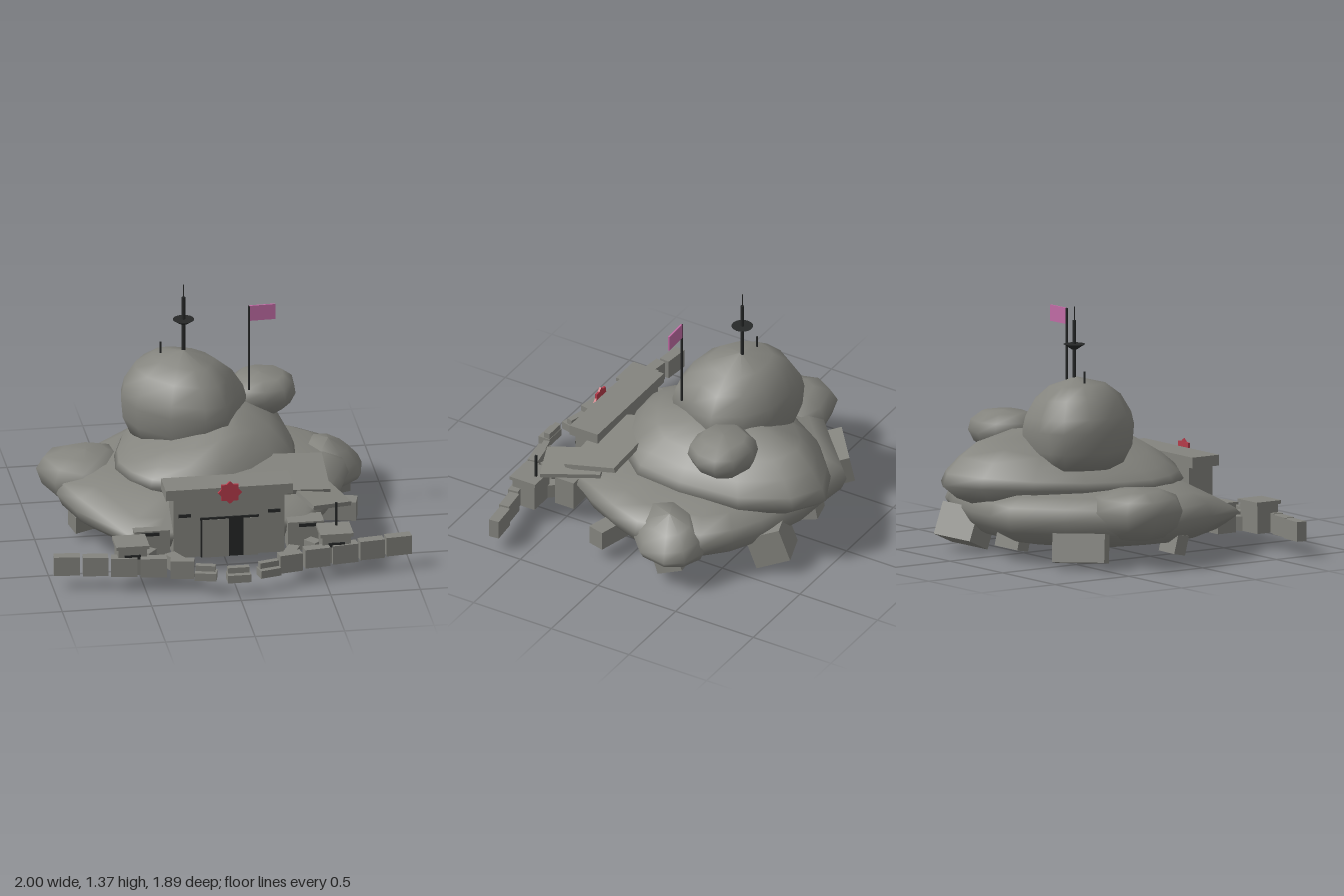
import * as THREE from 'three';

const mat = (name, color) => {
  const m = new THREE.MeshStandardMaterial({ color });
  m.name = name;
  return m;
};

export function createModel() {
  const rock = mat('rock grey', 0x84847e);
  const dark = mat('dark metal', 0x262828);
  const red = mat('emblem red', 0xb53b4a);
  const pink = mat('flag pink', 0xc26ca6);
  const model = new THREE.Group();

  const add = (name, geometry, material, x = 0, y = 0, z = 0, rx = 0, ry = 0, rz = 0) => {
    const mesh = new THREE.Mesh(geometry, material);
    mesh.name = name;
    mesh.position.set(x, y, z);
    mesh.rotation.set(rx, ry, rz, 'YXZ');
    model.add(mesh);
  };
  // Box given by its centre, size and rotation
  const box = (name, [x, y, z], [w, h, d], [rx, ry, rz] = [0, 0, 0], material = rock) =>
    add(name, new THREE.BoxGeometry(w, h, d), material, x, y, z, rx, ry, rz);

  // Boulder: a plan outline (x, z) repeated at profile steps (scale, y)
  const boulder = (name, outline, [cx, cz], profile, tweak = (x, y, z) => y) => {
    const n = outline.length;
    const pos = [], index = [];
    profile.forEach(([s, y], i) => {
      outline.forEach(([px, pz], j) => {
        const x = cx + (px - cx) * s, z = cz + (pz - cz) * s;
        pos.push(x, tweak(x, y, z), z);
        if (i === profile.length - 1) return;
        const a = i * n + j, b = i * n + (j + 1) % n;
        index.push(a, a + n, b, b, a + n, b + n);
      });
    });
    const g = new THREE.BufferGeometry();
    g.setAttribute('position', new THREE.Float32BufferAttribute(pos, 3));
    g.setIndex(index);
    g.computeVertexNormals();
    add(name, g, rock);
  };

  // Main rock masses
  boulder('baseRock',
    [[-.4, .56], [-.58, .55], [-.8, .2], [-.87, -.05], [-.8, -.35], [-.53, -.6], [-.3, -.82], [-.1, -.8], [.1, -.79],
      [.4, -.7], [.57, -.61], [.71, -.48], [.77, -.1], [.7, .1], [.6, .3], [.45, .5], [.2, .53]],
    [-.05, -.1],
    [[0, .07], [.6, .08], [.86, .12], [.96, .18], [1, .25], [.97, .32], [.84, .37], [.55, .41], [0, .43]],
    (x, y, z) => y - Math.max(0, y - .2) * Math.max(0, z - .3) * 3);
  boulder('middleRock',
    [[.14, -.95], [.31, -.84], [.45, -.57], [.48, -.2], [.45, .08], [.33, .22], [.18, .31], [0, .38], [-.22, .4],
      [-.4, .3], [-.5, .16], [-.55, 0], [-.53, -.18], [-.46, -.4], [-.3, -.65], [-.08, -.85]],
    [0, -.25],
    [[0, .2], [.6, .25], [.88, .33], [1, .4], [.96, .47], [.85, .56], [.7, .64], [.4, .69], [0, .71]],
    (x, y) => y - Math.max(0, y - .42) * Math.abs(x - .1) * 1.05);
  boulder('domeRock',
    [[-.38, -.5], [-.28, -.53], [-.2, -.54], [0, -.51], [.13, -.41], [.22, -.25], [.15, -.08], [.07, .08], [-.06, .11],
      [-.25, .07], [-.42, -.08], [-.48, -.25], [-.46, -.37]],
    [-.13, -.24],
    [[0, .48], [.85, .5], [.97, .59], [1, .7], [.95, .77], [.77, .87], [.5, .94], [0, .985]],
    (x, y) => y - (y - .48) * (x + .13) * .22);
  boulder('shoulderRock',
    [[.2, -.55], [.31, -.59], [.46, -.55], [.52, -.46], [.51, -.34], [.44, -.24], [.32, -.22], [.2, -.25], [.12, -.4]],
    [.32, -.4],
    [[0, .51], [.5, .53], [.85, .58], [1, .64], [.93, .7], [.65, .745], [0, .755]]);
  boulder('rightSideRock',
    [[-.95, -.28], [-.87, -.42], [-.65, -.47], [-.5, -.42], [-.44, -.25], [-.55, -.03], [-.74, .05], [-.88, -.05]],
    [-.68, -.22],
    [[0, .14], [.6, .16], [.88, .22], [1, .31], [.85, .38], [.5, .42], [0, .43]]);
  boulder('leftSideRock',
    [[.56, -.4], [.7, -.5], [.82, -.45], [.88, -.35], [.85, -.18], [.75, -.08], [.58, -.03], [.5, -.2]],
    [.68, -.27],
    [[0, .11], [.6, .13], [.9, .17], [1, .22], [.88, .29], [.58, .36], [0, .39]],
    (x, y) => y - Math.max(0, y - .15) * (x - .68) * 1.6);

  // Loose angular blocks under the rock
  [
    [[.29, .14, -.69], [.24, .19, .2], [.36, .4, .1]],
    [[-.64, .12, -.57], [.3, .16, .1], [.2, .68, -.03]],
    [[-.15, .115, -.68], [.16, .1, .1], [.2, .3, .08]],
    [[.7, .135, -.3], [.18, .12, .15], [.35, .2, .1]],
    [[.66, .14, .12], [.24, .11, .1], [0, -.25, 0]],
    [[-.74, .11, -.01], [.11, .11, .1], [.2, .3, .1]],
  ].forEach(([p, s, r]) => box('looseBlock', p, s, r));

  // Entrance hall with roof slab and double door
  box('entranceHall', [0, .265, .48], [.62, .35, .16]);
  box('entranceRoof', [0, .47, .48], [.71, .06, .18]);
  box('doorLintel', [0, .322, .574], [.33, .012, .008], undefined, dark);
  box('doorOpening', [0, .203, .572], [.32, .226, .006], undefined, dark);
  box('doorPanel', [-.077, .203, .575], [.146, .226, .009]);
  box('doorPanel', [.118, .203, .575], [.08, .226, .009]);

  // Eight-pointed emblem
  const star = new THREE.Shape(Array.from({ length: 16 }, (_, i) => {
    const r = i % 2 ? .052 : .067, a = i * Math.PI / 8;
    return new THREE.Vector2(r * Math.cos(a), r * Math.sin(a));
  }));
  add('emblem', new THREE.ExtrudeGeometry(star, { depth: .012, bevelEnabled: false }), red, 0, .477, .58);

  // Sloped canopy roofs and their post
  box('upperCanopy', [.31, .447, .31], [.54, .03, .33], [.25, 0, -.05]);
  box('lowerCanopy', [.51, .385, .45], [.24, .025, .34], [.1, .36, -.1]);
  box('canopyPost', [.585, .33, .65], [.012, .15, .012], undefined, dark);

  for (const s of [-1, 1]) {
    // Guard posts, side wings and their slits
    box('hallSlit', [s * .25, .345, .573], [.07, .018, .008], undefined, dark);
    box('guardPost', [s * .57, .17, .69], [.16, .16, .14]);
    box('guardPostRoof', [s * .57, .258, .69], [.185, .02, .165]);
    box('guardPostSlit', [s * .57, .2, .763], [.09, .025, .008], undefined, dark);
    box('sideWing', [s * .43, .175, .5], [.2, .17, .12]);
    box('sideWingSlit', [s * .44, .242, .564], [.1, .018, .008], undefined, dark);
    // Barricade, outermost block first
    [
      [.925, .145, .68, .145, .11, .06, .1], [.77, .145, .71, .14, .11, .06, .12],
      [.615, .145, .745, .145, .11, .06, .12], [.455, .145, .775, .145, .11, .06, .12],
      [.3, .14, .815, .13, .105, .06, .18],
    ].forEach(([x, y, z, w, h, d, r]) => box('barricadeBlock', [s * x, y, z], [w, h, d], [0, s * r, 0]));
    box('lowBarricade', [s * .175, .11, .86], [.12, .045, .07], [0, s * .25, 0]);
    box('lowBarricadeTop', [s * .175, .145, .845], [.11, .04, .035], [0, s * .25, 0]);
    // Scattered stones by the path
    box('pathBlock', [s * .325, .13, .71], [.065, .08, .11], [0, s * -.45, 0]);
    box('pathBlock', [s * .46, .13, .61], [.06, .08, .08], [0, s * .7, 0]);
  }
  box('lowBarricade', [0, .11, .91], [.13, .045, .07]);
  box('lowBarricadeTop', [0, .145, .895], [.12, .04, .035]);

  // Flag
  const rod = (name, x, z, y0, y1, r) =>
    add(name, new THREE.CylinderGeometry(r, r, y1 - y0, 8), dark, x, (y0 + y1) / 2, z);
  rod('flagPole', .206, -.062, .8, 1.305, .006);
  box('flag', [.281, 1.262, -.065], [.145, .09, .009], [0, .03, 0], pink);

  // Antennas with a dish
  rod('mainAntenna', -.13, -.25, .95, 1.3, .01);
  rod('antennaTip', -.13, -.25, 1.3, 1.375, .003);
  rod('smallAntenna', -.255, -.27, .9, 1.03, .006);
  add('antennaDish', new THREE.CylinderGeometry(.06, .015, .03, 16), dark, -.13, 1.152, -.25);

  return model;
}
